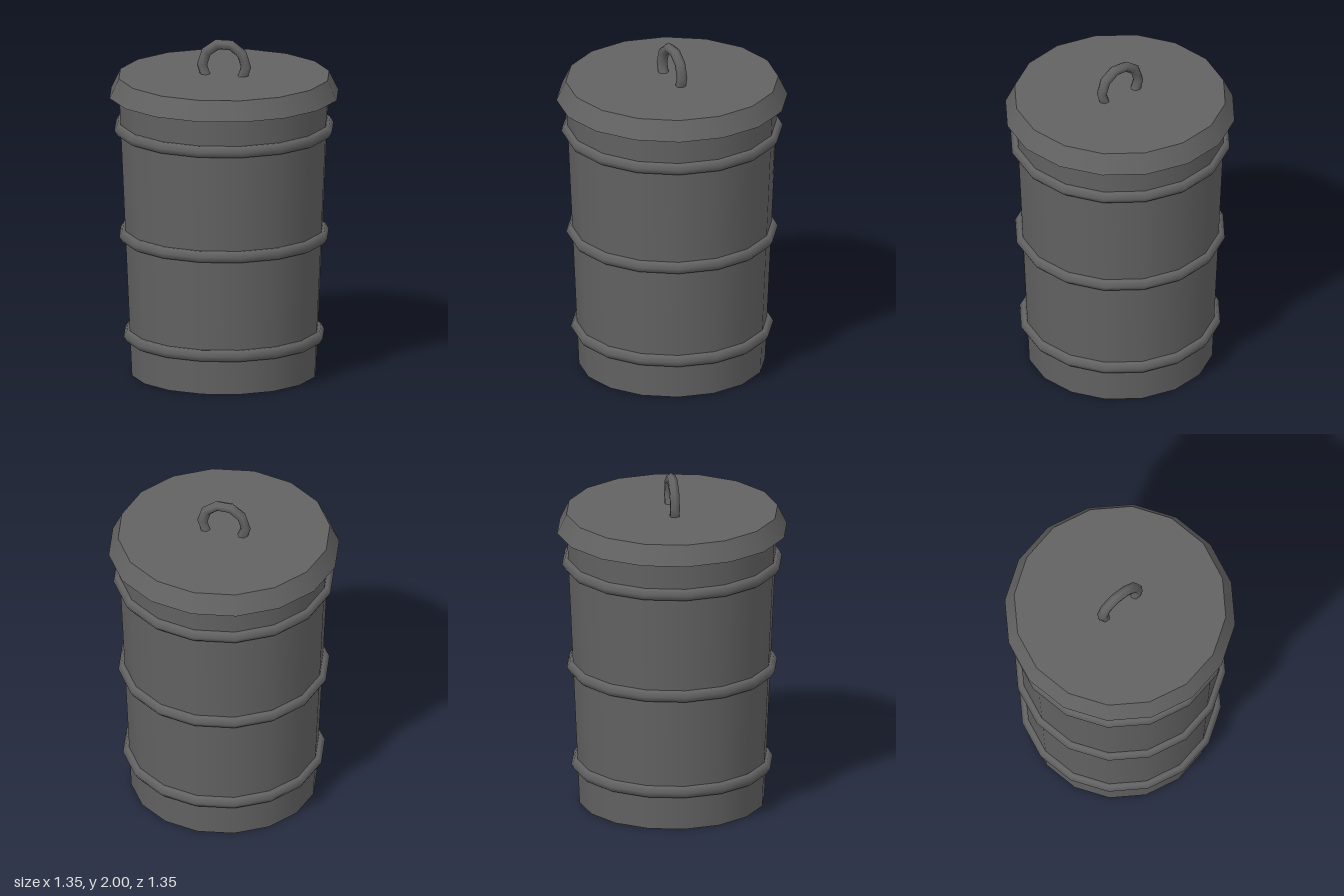
import * as THREE from 'three';

export function createModel() {
  const group = new THREE.Group();
  const metal = new THREE.MeshStandardMaterial({ color: 0x626263, side: THREE.DoubleSide });
  metal.name = 'dark grey metal';

  const SIDES = 16;
  const BOTTOM_R = 0.545, TOP_R = 0.62, BODY_H = 1.69;

  function add(name, geometry, y) {
    const mesh = new THREE.Mesh(geometry, metal);
    mesh.name = name;
    mesh.position.y = y;
    group.add(mesh);
    return mesh;
  }

  // Tapered shell, open underneath
  add('body', new THREE.CylinderGeometry(TOP_R, BOTTOM_R, BODY_H, SIDES, 1, true), BODY_H / 2);

  // Hoops centred on the wall, following its taper
  [0.237, 0.84, 1.48].forEach((y, i) => {
    const radius = THREE.MathUtils.lerp(BOTTOM_R, TOP_R, y / BODY_H);
    const hoop = new THREE.TorusGeometry(radius, 0.038, 6, SIDES).rotateX(Math.PI / 2);
    add('hoop' + (i + 1), hoop, y);
  });

  // Lid flaring out towards its lower edge
  add('lid', new THREE.CylinderGeometry(0.622, 0.677, 0.115, SIDES), 1.7325);

  // Handle: seven segments of a ten-sided ring, ends sunk into the lid
  const step = Math.PI / 5;
  const handle = new THREE.TorusGeometry(0.132, 0.031, 6, 7, step * 7).rotateZ(-step);
  add('handle', handle, 1.845);

  return group;
}
